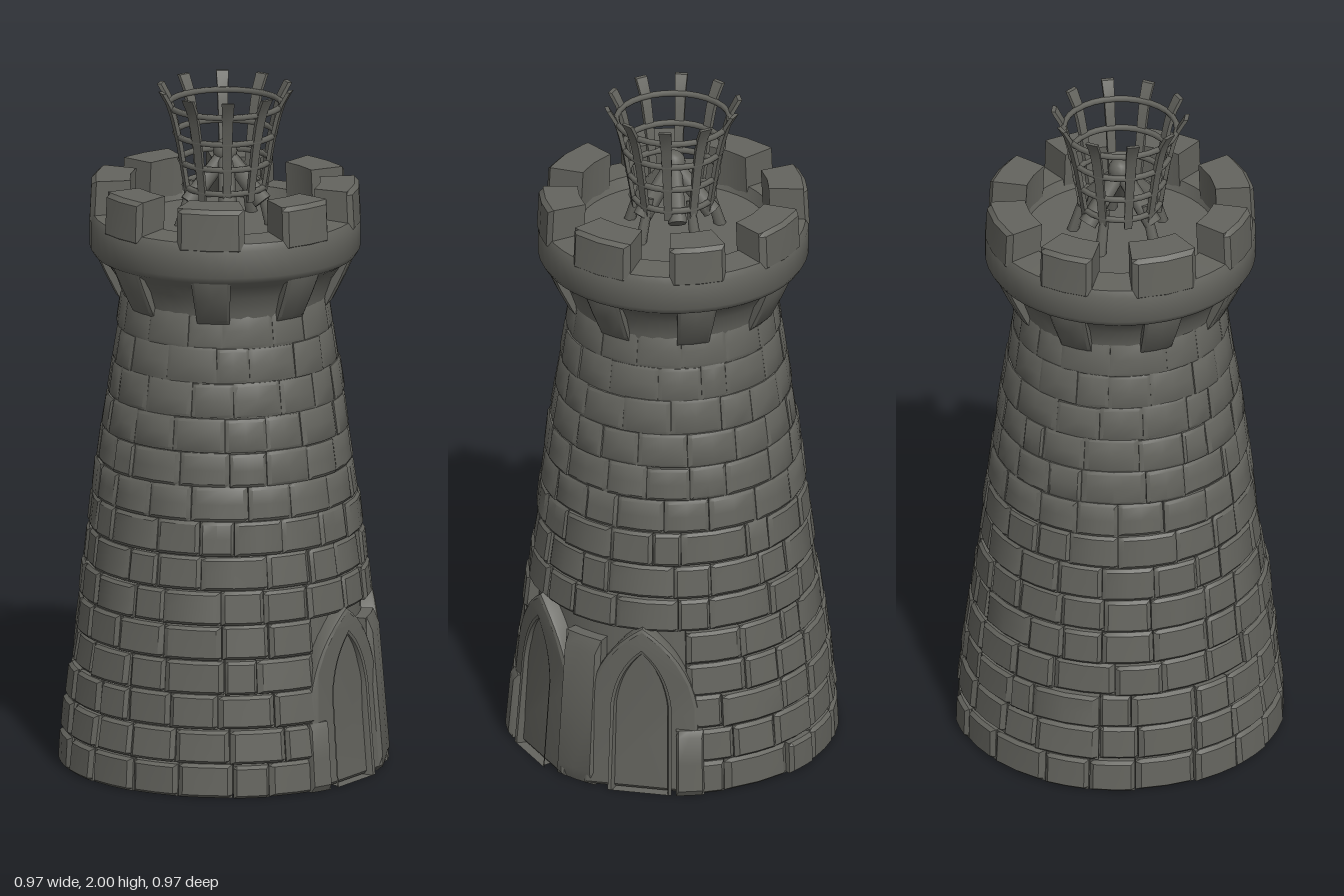
import * as THREE from 'three';
import { mergeGeometries, toCreasedNormals } from 'three/addons/utils/BufferGeometryUtils.js';

const stone = new THREE.MeshStandardMaterial({ color: 0x64645e });
stone.name = 'darkStone';

const DEG = Math.PI / 180;
const DOORS = [16 * DEG, 67 * DEG];
const lerp = THREE.MathUtils.lerp;

// Seeded random numbers for the masonry
let seed = 7;
const rand = () => (seed = (seed * 16807) % 2147483647) / 2147483647;

// Piecewise linear function through [y, value] points
const ramp = (pts) => (y) => {
  for (let i = 1; i < pts.length; i++) {
    const [y0, v0] = pts[i - 1], [y1, v1] = pts[i];
    if (y <= y1 || i === pts.length - 1) return lerp(v0, v1, (y - y0) / (y1 - y0));
  }
};
const wallRadius = ramp([[0, 0.478], [0.1, 0.472], [0.3, 0.448], [0.6, 0.41], [1, 0.36], [1.4, 0.3]]);
const coreRadius = ramp([[0, 0.418], [0.5, 0.39], [1, 0.348], [1.4, 0.294]]);
const frameRadius = ramp([[0, 0.475], [0.5, 0.434]]);
const cageRadius = ramp([[1.68, 0.115], [1.72, 0.12], [1.85, 0.142], [1.95, 0.166], [2, 0.194]]);

// Wraps a geometry round the tower: x becomes arc, z becomes distance from radius(y)
function wrap(geo, angle, radius, ref) {
  const p = geo.attributes.position;
  for (let i = 0; i < p.count; i++) {
    const a = angle + p.getX(i) / ref, r = radius(p.getY(i)) + p.getZ(i);
    p.setXYZ(i, r * Math.sin(a), p.getY(i), r * Math.cos(a));
  }
  return geo;
}
const crease = (geo, angle = 0.6) => {
  geo.deleteAttribute('uv');
  return toCreasedNormals(geo, angle);
};

// Curved stone block with worn edges on its outer face
function block(a0, a1, y0, y1, radius, depth, bevel) {
  const geo = new THREE.BoxGeometry(1, 1, 1, 4, 4, 1);
  const p = geo.attributes.position;
  const w = a1 - a0, h = y1 - y0;
  const place = (t) => Math.sign(t) * (Math.abs(t) > 0.4 ? 0.5 : Math.abs(t) > 0.1 ? 0.41 : 0);
  for (let i = 0; i < p.count; i++) {
    const u = p.getX(i), v = p.getY(i), outer = p.getZ(i) > 0;
    const edge = Math.abs(u) > 0.4 || Math.abs(v) > 0.4;
    p.setXYZ(i, place(u) * w, y0 + h * (0.5 + place(v)), outer ? (edge ? -bevel : 0) : -depth);
  }
  return crease(wrap(geo, (a0 + a1) / 2, radius, 1));
}

// Pointed arch outline
function arch(path, half, spring, top) {
  path.moveTo(-half, 0);
  path.lineTo(half, 0);
  path.lineTo(half, spring);
  path.quadraticCurveTo(half * 0.85, lerp(spring, top, 0.65), 0, top);
  path.quadraticCurveTo(-half * 0.85, lerp(spring, top, 0.65), -half, spring);
  path.lineTo(-half, 0);
  return path;
}
function archFrame(angle, outer, inner, radius, depth, bevel) {
  const shape = arch(new THREE.Shape(), ...outer);
  // The opening runs down to the ground
  const [half, spring, top] = inner;
  shape.holes.push(arch(new THREE.Path(), half, spring, top));
  const geo = new THREE.ExtrudeGeometry(shape, {
    depth, curveSegments: 8, bevelEnabled: bevel > 0, bevelSize: bevel, bevelThickness: bevel,
    bevelOffset: -bevel, bevelSegments: 2,
  });
  geo.translate(0, 0, -depth - bevel);
  const p = geo.attributes.position;
  for (let i = 0; i < p.count; i++) p.setY(i, Math.max(p.getY(i), 0));
  return crease(wrap(geo, angle, radius, 0.45));
}

// Tapered round bar between two points
function bar(from, to, r0, r1, sides = 7) {
  const d = new THREE.Vector3().subVectors(to, from);
  const geo = new THREE.CylinderGeometry(r1, r0, d.length(), sides);
  geo.applyQuaternion(new THREE.Quaternion().setFromUnitVectors(new THREE.Vector3(0, 1, 0), d.clone().normalize()));
  const mid = from.clone().add(to).multiplyScalar(0.5);
  return geo.translate(mid.x, mid.y, mid.z);
}
const polar = (a, r, y) => new THREE.Vector3(r * Math.sin(a), y, r * Math.cos(a));
const lathe = (pts, n = 48) => crease(new THREE.LatheGeometry(pts.map(([x, y]) => new THREE.Vector2(x, y)), n));

export function createModel() {
  const group = new THREE.Group();
  const add = (name, geo) => {
    const mesh = new THREE.Mesh(Array.isArray(geo) ? mergeGeometries(geo) : geo, stone);
    mesh.name = name;
    group.add(mesh);
  };

  // Smooth wall behind the masonry
  add('towerCore', lathe([[0, 0], [0.418, 0], [0.39, 0.5], [0.348, 1], [0.294, 1.4], [0.294, 1.45]]));

  // Courses of irregular stones, leaving the doorways clear
  const bricks = [];
  const courses = 14, courseHeight = 1.4 / courses;
  for (let c = 0; c < courses; c++) {
    const y0 = c * courseHeight, y1 = y0 + courseHeight;
    const low = y0 < 0.45;
    const start = low ? 84 * DEG : rand() * 0.4;
    const span = low ? 274 * DEG : 2 * Math.PI;
    const count = Math.round((low ? 0.76 : 1) * (20 - c * 0.35));
    const cuts = [];
    for (let i = 0; i <= count; i++) {
      const jitter = i % count ? (rand() - 0.5) * 0.5 : 0;
      cuts.push(start + (span * (i + jitter)) / count);
    }
    const relief = lerp(1, 0.3, c / (courses - 1));
    for (let i = 0; i < count; i++) {
      const out = (rand() - 0.6) * 0.014 * relief, tilt = (rand() - 0.5) * 0.1;
      const radius = (y) => Math.max(wallRadius(y) + out + (y - y0) * tilt * relief, coreRadius(y) + 0.003);
      const gap = 0.003 * relief;
      const top = c === courses - 1 ? y1 : y1 - gap + (rand() - 0.5) * 0.006;
      bricks.push(block(cuts[i] + gap, cuts[i + 1] - gap, y0, top, radius, 0.075, 0.011 * relief));
    }
  }
  add('wallStones', bricks);

  // Doorways with an outer surround and a thin inner trim
  add('doorSurrounds', DOORS.map((a) => archFrame(a, [0.168, 0.27, 0.515], [0.078, 0.27, 0.43], frameRadius, 0.07, 0.012)));
  add('doorTrims', DOORS.map((a) => archFrame(a, [0.09, 0.26, 0.44], [0.056, 0.25, 0.395],
    (y) => coreRadius(y) + 0.014, 0.03, 0)));
  add('doorPier', block(33 * DEG, 50 * DEG, 0, 0.45, (y) => frameRadius(y) + 0.004, 0.1, 0.015));
  add('pierFoot', [
    block(-7 * DEG, 1.5 * DEG, 0, 0.2, (y) => 0.488 - y * 0.09, 0.06, 0.012),
    block(80 * DEG, 90 * DEG, 0, 0.2, (y) => 0.488 - y * 0.09, 0.06, 0.012),
  ]);

  // Flared crown with the roof floor inside
  add('crown', lathe([[0.292, 1.34], [0.3, 1.4], [0.318, 1.45], [0.345, 1.49], [0.38, 1.512], [0.391, 1.53],
    [0.391, 1.61], [0.382, 1.63], [0.288, 1.635], [0.276, 1.6], [0, 1.6]]));

  // Battlements and the corbels below them
  const merlons = [], corbels = [];
  for (let i = 0; i < 8; i++) {
    const a = i * 45 * DEG, half = (i % 2 ? 15 : 12.5) * DEG;
    const top = 1.726 + (rand() - 0.5) * 0.012;
    merlons.push(block(a - half, a + half, 1.6, top, (y) => 0.394 - (y - 1.6) * 0.05, 0.112, 0.012));
    corbels.push(block(a - 9 * DEG, a + 9 * DEG, 1.37, 1.53,
      ramp([[1.37, 0.308], [1.42, 0.335], [1.5, 0.372], [1.53, 0.384]]), 0.1, 0.006));
  }
  add('merlons', merlons);
  add('corbels', corbels);

  // Fire basket: flat ribs, hoops and splayed legs
  const ribs = [], hoops = [], legs = [];
  for (let i = 0; i < 10; i++) {
    const geo = new THREE.BoxGeometry(0.028, 0.32, 0.012, 1, 8, 1).translate(0, 1.84, 0);
    ribs.push(crease(wrap(geo, i * 36 * DEG, cageRadius, 0.15)));
  }
  for (const y of [1.71, 1.785, 1.865, 1.95]) {
    const r = cageRadius(y) - 0.002;
    const geo = new THREE.TorusGeometry(r, 0.009, 6, 30).rotateX(Math.PI / 2).translate(0, -y, 0);
    hoops.push(geo.scale(1, 1, 1).translate(0, 2 * y, 0));
  }
  for (let i = 0; i < 5; i++) {
    const a = (i * 72 + 36) * DEG;
    legs.push(bar(polar(a, 0.14, 1.59), polar(a, 0.1, 1.73), 0.018, 0.012, 6));
  }
  add('basketRibs', ribs);
  add('basketHoops', hoops);
  add('basketLegs', legs);

  // Logs leaning together inside the basket
  const logs = [-102, -35, 28, 85, 152].map((d) =>
    bar(polar(d * DEG, 0.118, 1.67), polar(d * DEG, 0.005, 1.8), 0.028, 0.024));
  add('logs', logs);
  add('logTip', new THREE.SphereGeometry(0.036, 12, 8).translate(0, 1.81, 0));

  return group;
}
